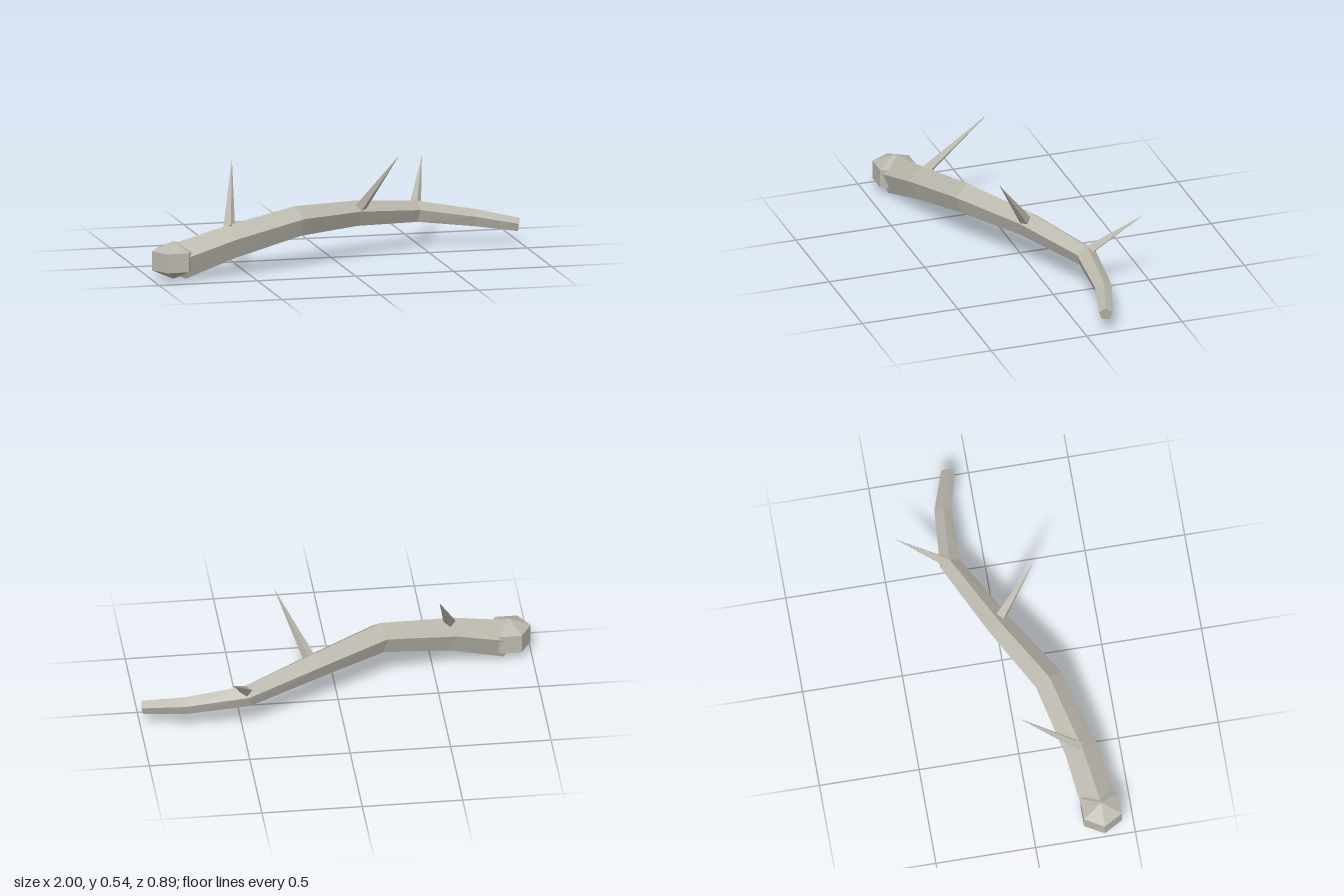
import * as THREE from 'three';

const bark = new THREE.MeshStandardMaterial({ color: 0xbab7ac, flatShading: true });
bark.name = 'paleBark';

// Centre line of the branch: x, y, z, radius
const STEMS = [
  [-0.87, 0.083, 0.345, 0.097],
  [-0.59, 0.16, 0.295, 0.087],
  [-0.23, 0.227, 0.195, 0.079],
  [0.11, 0.213, 0.0, 0.067],
  [0.475, 0.173, -0.18, 0.056],
  [0.775, 0.13, -0.165, 0.045],
  [0.985, 0.097, -0.105, 0.035],
];

// Tapering five-sided branch with closed ends, ridge on top
function branchGeometry(sides = 5) {
  const centres = STEMS.map(([x, y, z]) => new THREE.Vector3(x, y, z));
  const last = centres.length - 1;
  const rings = centres.map((c, i) => {
    const t = new THREE.Vector3();
    if (i > 0) t.add(c.clone().sub(centres[i - 1]).normalize());
    if (i < last) t.add(centres[i + 1].clone().sub(c).normalize());
    t.normalize();
    const side = t.clone().cross(new THREE.Vector3(0, 1, 0)).normalize();
    const up = side.clone().cross(t);
    return Array.from({ length: sides }, (_, j) => {
      const a = (j / sides) * Math.PI * 2;
      return c.clone()
        .addScaledVector(up, Math.cos(a) * STEMS[i][3])
        .addScaledVector(side, Math.sin(a) * STEMS[i][3]);
    });
  });
  const points = [];
  for (let j = 0; j < sides; j++) {
    const k = (j + 1) % sides;
    for (let i = 0; i < last; i++) {
      const [a, b, c, d] = [rings[i][j], rings[i][k], rings[i + 1][j], rings[i + 1][k]];
      points.push(a, b, c, b, d, c);
    }
    points.push(centres[0], rings[0][k], rings[0][j]);
    points.push(centres[last], rings[last][j], rings[last][k]);
  }
  const geometry = new THREE.BufferGeometry().setFromPoints(points);
  geometry.computeVertexNormals();
  return geometry;
}

// Four-sided spike running from base to tip
function makeThorn(name, base, tip, radius) {
  const from = new THREE.Vector3(...base);
  const dir = new THREE.Vector3(...tip).sub(from);
  const length = dir.length();
  const geometry = new THREE.ConeGeometry(radius, length, 4);
  geometry.translate(0, length / 2, 0);
  const thorn = new THREE.Mesh(geometry, bark);
  thorn.name = name;
  thorn.position.copy(from);
  thorn.quaternion.setFromUnitVectors(new THREE.Vector3(0, 1, 0), dir.normalize());
  return thorn;
}

export function createModel() {
  const group = new THREE.Group();
  group.name = 'thornyBranch';

  const branch = new THREE.Mesh(branchGeometry(), bark);
  branch.name = 'branch';
  group.add(branch);

  // Squashed six-sided knob at the thick end
  const knob = new THREE.Mesh(new THREE.SphereGeometry(0.127, 6, 3), bark);
  knob.name = 'knob';
  knob.scale.y = 0.75;
  knob.position.set(-0.89, 0.095, 0.347);
  group.add(knob);

  group.add(
    makeThorn('lowerThorn', [-0.59, 0.23, 0.285], [-0.505, 0.525, 0.0], 0.03),
    makeThorn('middleThorn', [0.145, 0.247, 0.022], [0.295, 0.54, 0.212], 0.03),
    makeThorn('upperThorn', [0.477, 0.2, -0.19], [0.575, 0.4, -0.445], 0.03),
  );
  return group;
}
